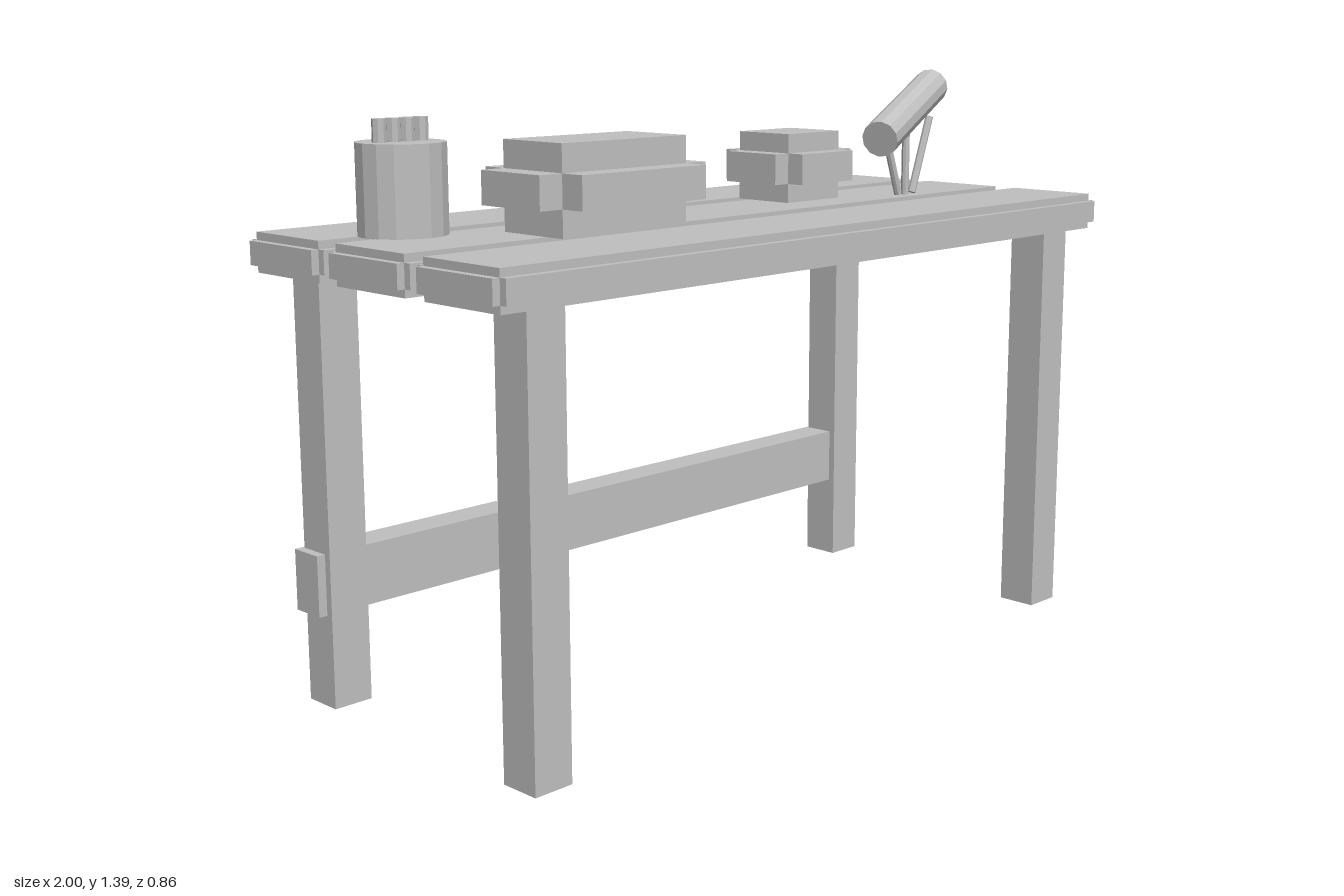
import * as THREE from 'three';

export function createModel() {
  const model = new THREE.Group();
  model.name = 'workTable';
  const grey = new THREE.MeshStandardMaterial({ color: 0xc0c0c0, flatShading: true });
  grey.name = 'plainGrey';

  const add = (name, geometry, x, y, z, parent = model) => {
    const mesh = new THREE.Mesh(geometry, grey);
    mesh.name = name;
    mesh.position.set(x, y, z);
    parent.add(mesh);
    return mesh;
  };
  const box = (name, w, h, d, x, y, z, parent) =>
    add(name, new THREE.BoxGeometry(w, h, d), x, y, z, parent);

  // Block with stepped edges: three crossing boxes, each full size along one axis
  const steppedBlock = (name, w, h, d, step, x, y, z) => {
    const group = new THREE.Group();
    group.name = name;
    group.position.set(x, y, z);
    const s = 2 * step;
    box(name + 'Length', w, h - s, d - s, 0, 0, 0, group);
    box(name + 'Height', w - s, h, d - s, 0, 0, 0, group);
    box(name + 'Depth', w - s, h - s, d, 0, 0, 0, group);
    model.add(group);
  };

  // Cylinder stretched between two points
  const rod = (name, from, to, radius, sides) => {
    const a = new THREE.Vector3(...from);
    const b = new THREE.Vector3(...to);
    const dir = b.clone().sub(a);
    const mid = a.clone().add(b).multiplyScalar(0.5);
    const mesh = add(name, new THREE.CylinderGeometry(radius, radius, dir.length(), sides), mid.x, mid.y, mid.z);
    mesh.quaternion.setFromUnitVectors(new THREE.Vector3(0, 1, 0), dir.normalize());
  };

  // Table top planks
  for (const [name, z] of [['backPlank', -0.294], ['middlePlank', 0], ['frontPlank', 0.294]]) {
    steppedBlock(name, 2, 0.089, 0.268, 0.018, 0, 1.0325, z);
  }

  // Legs and rear stretcher
  for (const sx of [-1, 1]) {
    for (const sz of [-1, 1]) {
      box((sz > 0 ? 'front' : 'back') + (sx > 0 ? 'Left' : 'Right') + 'Leg',
        0.098, 0.99, 0.098, sx * 0.857, 0.495, sz * 0.345);
    }
  }
  box('stretcher', 1.854, 0.142, 0.086, 0, 0.287, -0.357);

  // Blocks on the table
  steppedBlock('largeBlock', 0.486, 0.199, 0.313, 0.062, -0.43, 1.1765, 0.071);
  steppedBlock('smallBlock', 0.283, 0.169, 0.258, 0.047, 0.356, 1.1615, -0.072);

  // Pot with pencils
  add('pot', new THREE.CylinderGeometry(0.098, 0.098, 0.198, 16), -0.79, 1.175, -0.144);
  for (let i = 0; i < 4; i++) {
    add('pencil', new THREE.CylinderGeometry(0.016, 0.016, 0.15, 8),
      -0.79 + (i - 1.5) * 0.036, 1.249, -0.144);
  }

  // Telescope tube on three legs
  rod('telescopeTube', [0.447, 1.231, 0.147], [0.836, 1.346, 0.001], 0.046, 12);
  for (const side of [-1, 0, 1]) {
    rod('telescopeLeg', [0.642 + side * 0.028, side ? 1.08 : 1.074, 0.074],
      [0.642 + side * 0.096, 1.272, 0.074], 0.01, 8);
  }

  return model;
}
